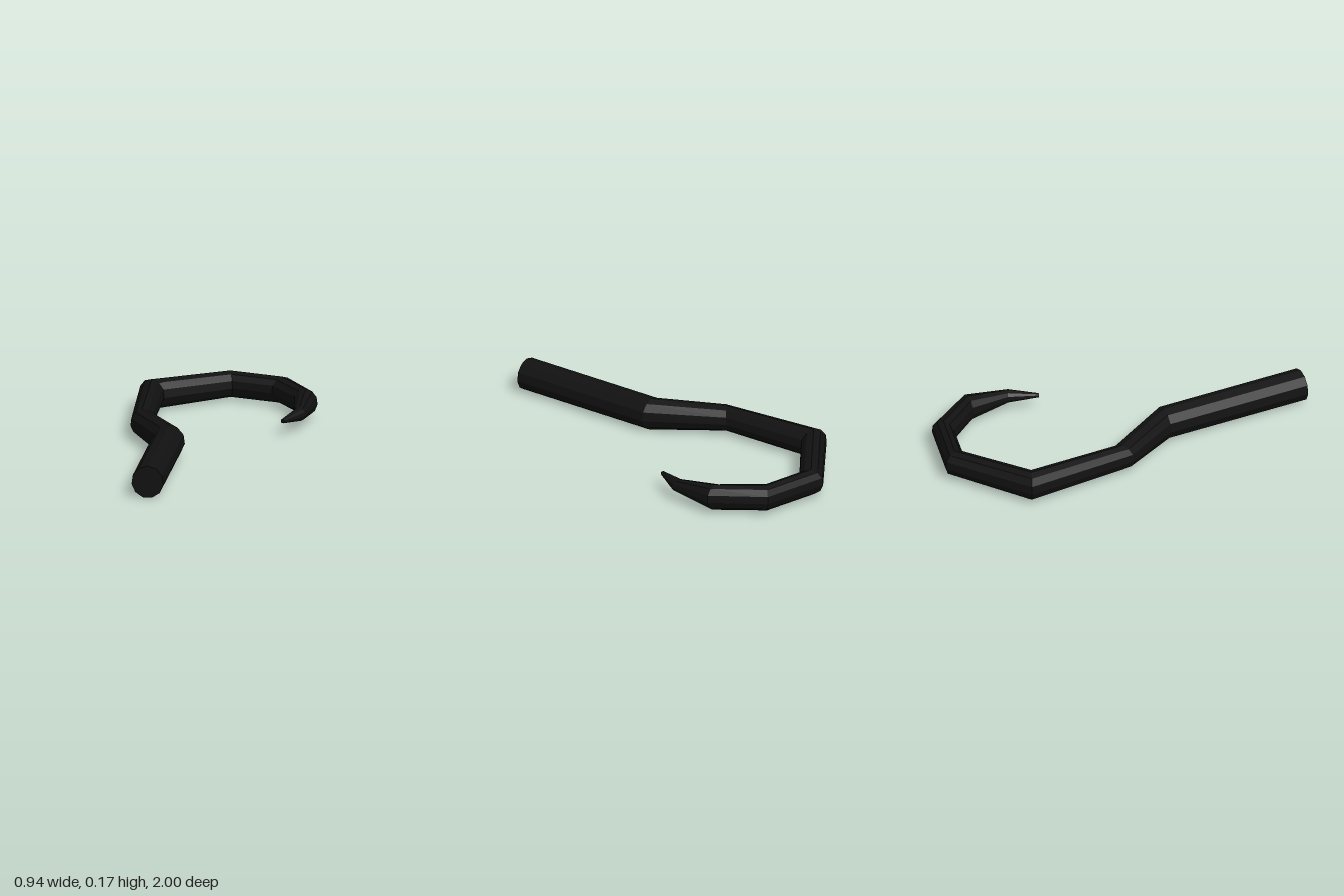
import * as THREE from 'three';

const SIDES = 11;
const AXIS_Y = 0.0835;

// Stations along the staff: outer x, outer z, inner x, inner z, vertical radius
const STATIONS = [
  [-0.275, 1.0, -0.108, 1.0, 0.086],
  [-0.275, 0.2, -0.108, 0.2, 0.086],
  [-0.435, -0.1, -0.325, -0.18, 0.069],
  [-0.475, -0.715, -0.335, -0.65, 0.079],
  [-0.05, -1.0, -0.01, -0.875, 0.07],
  [0.3, -0.9, 0.205, -0.815, 0.07],
  [0.47, -0.635, 0.345, -0.635, 0.07],
  [0.44, -0.385, 0.375, -0.415, 0.035],
  [0.35, -0.25, 0.33, -0.26, 0.011],
];

// Mitred cross-sections joined in loops, with a fan closing each end
function sweep(stations) {
  const positions = [];
  const index = [];
  const last = stations.length - 1;
  for (const [ox, oz, ix, iz, r] of stations) {
    for (let j = 0; j < SIDES; j++) {
      const a = Math.PI / 2 + (j / SIDES) * Math.PI * 2;
      const c = Math.cos(a) / 2 / Math.cos(Math.PI / 22);
      positions.push(
        (ox + ix) / 2 + (ix - ox) * c,
        AXIS_Y + r * Math.sin(a),
        (oz + iz) / 2 + (iz - oz) * c
      );
    }
  }
  for (let i = 0; i < last; i++) {
    for (let j = 0; j < SIDES; j++) {
      const k = (j + 1) % SIDES;
      const a = i * SIDES + j, b = i * SIDES + k;
      index.push(a, a + SIDES, b, b, a + SIDES, b + SIDES);
    }
  }
  const end = last * SIDES;
  for (let j = 1; j < SIDES - 1; j++) {
    index.push(0, j, j + 1);
    index.push(end, end + j + 1, end + j);
  }
  const geometry = new THREE.BufferGeometry();
  geometry.setAttribute('position', new THREE.Float32BufferAttribute(positions, 3));
  geometry.setIndex(index);
  const faceted = geometry.toNonIndexed();
  faceted.computeVertexNormals();
  return faceted;
}

export function createModel() {
  const group = new THREE.Group();
  group.name = 'crook';
  const material = new THREE.MeshStandardMaterial({ color: 0x111111, flatShading: true });
  // Straight handle running into the bent, tapering hook
  const staff = new THREE.Mesh(sweep(STATIONS), material);
  staff.name = 'hookedStaff';
  group.add(staff);
  return group;
}
